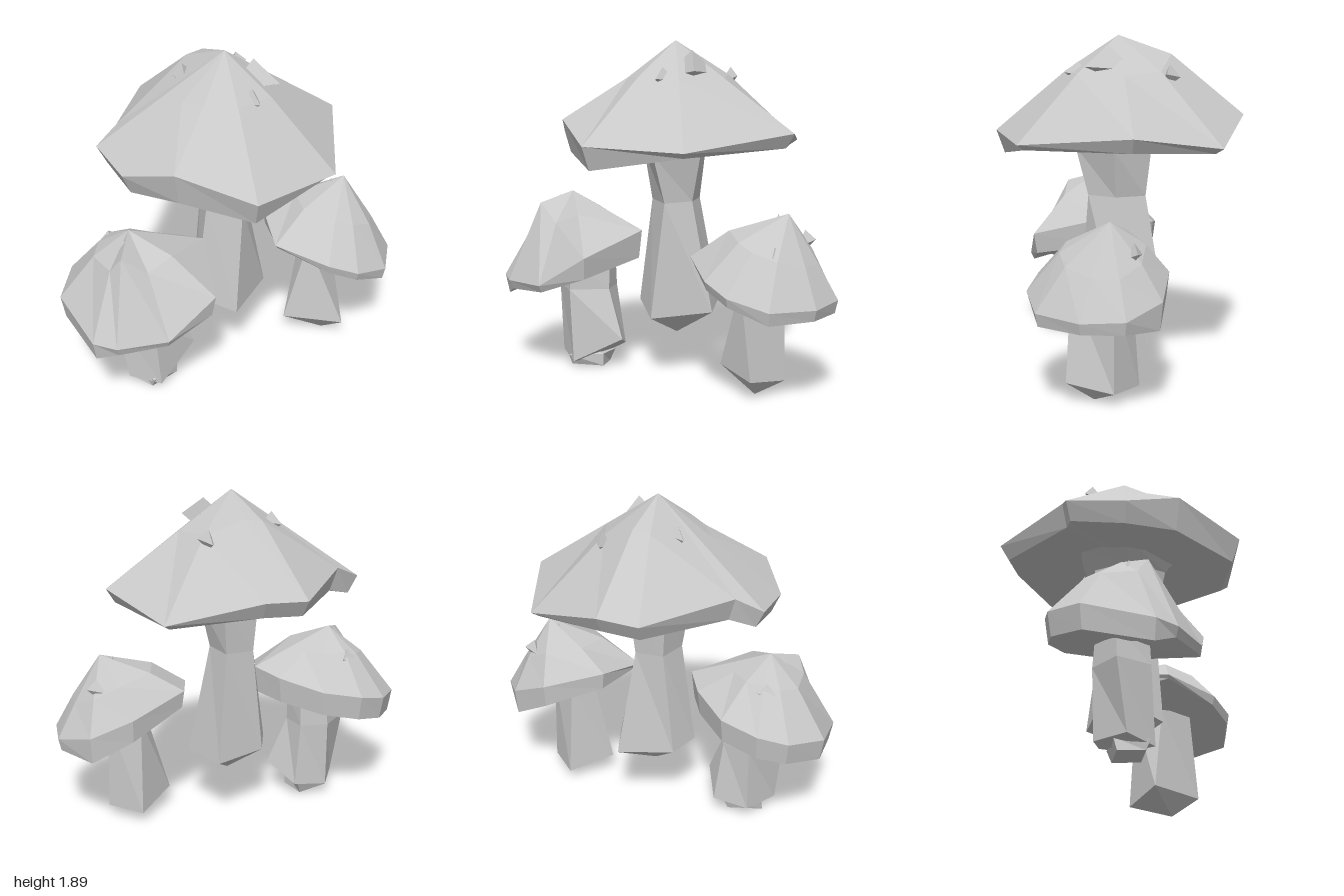
import * as THREE from 'three';

const stone = new THREE.MeshStandardMaterial({ color: 0xc8c8c8, flatShading: true, side: THREE.DoubleSide });
stone.name = 'pale grey';

// Flat-shaded skin over rings listed top to bottom, each running front, left (+x), back, right
function loft(name, top, rings, bottom) {
  const pos = [];
  const tri = (a, b, c) => pos.push(...a, ...b, ...c);
  const n = rings[0].length;
  const last = rings[rings.length - 1];
  for (let i = 0; i < n; i++) {
    const j = (i + 1) % n;
    tri(top, rings[0][i], rings[0][j]);
    for (let r = 0; r < rings.length - 1; r++) {
      const u = rings[r], l = rings[r + 1];
      tri(u[i], l[i], l[j]);
      tri(u[i], l[j], u[j]);
    }
    tri(last[i], bottom, last[j]);
  }
  const g = new THREE.BufferGeometry();
  g.setAttribute('position', new THREE.Float32BufferAttribute(pos, 3));
  g.computeVertexNormals();
  const mesh = new THREE.Mesh(g, stone);
  mesh.name = name;
  return mesh;
}

// Cap: rim entries are [x, y, z, shoulder lift, depth of the lip]
function cap(apex, rim, t, inset, under) {
  const shoulder = rim.map(p => [0, 1, 2].map(k => apex[k] + (p[k] - apex[k]) * t + (k === 1 ? p[3] : 0)));
  const edge = rim.map(p => p.slice(0, 3));
  const lip = rim.map(p => [
    under[0] + (p[0] - under[0]) * inset, p[1] - p[4], under[2] + (p[2] - under[2]) * inset]);
  return loft('cap', apex, [shoulder, edge, lip], under);
}

// Small chipped wart: a three-sided wedge sunk into the cap
function wart(x, y, z, r, h, turn) {
  const ring = [0, 1, 2].map(i => {
    const a = turn + i * 2.1;
    return [x + Math.sin(a) * r, y - i * 0.02, z + Math.cos(a) * r];
  });
  return loft('wart', [x, y + h, z], [ring], [x, y - 0.06, z]);
}

function mushroom(name, ...parts) {
  const g = new THREE.Group();
  g.name = name;
  g.add(...parts);
  return g;
}

export function createModel() {
  const model = new THREE.Group();
  model.name = 'mushroomCluster';

  model.add(mushroom('tallMushroom',
    cap([0, 1.89, 0], [
      [-0.15, 1.35, 0.69, 0.03, 0.13],
      [0.38, 1.33, 0.55, 0.03, 0.03],
      [0.71, 1.40, -0.05, 0.0, 0.08],
      [0.50, 1.32, -0.53, 0.05, 0.03],
      [0.02, 1.45, -0.70, 0.08, 0.09],
      [-0.21, 1.44, -0.69, 0.07, 0.09],
      [-0.54, 1.47, -0.23, 0.0, 0.13],
      [-0.68, 1.40, -0.17, 0.0, 0.10],
      [-0.66, 1.37, 0.15, 0.0, 0.11],
      [-0.48, 1.46, 0.41, -0.02, 0.18],
    ], 0.42, 0.93, [0.02, 1.38, 0.02]),
    // stem flares under the cap and ends in a blunt point
    loft('stem', [0.02, 1.40, 0.02], [
      [[0.0, 1.37, 0.33], [0.33, 1.37, 0.17], [0.15, 1.37, -0.27], [-0.18, 1.37, -0.22], [-0.27, 1.37, 0.07]],
      [[0.0, 1.27, 0.24], [0.18, 1.27, 0.03], [0.09, 1.27, -0.18], [-0.11, 1.27, -0.15], [-0.17, 1.27, 0.06]],
      [[0.03, 1.0, 0.17], [0.12, 1.0, 0.02], [0.07, 1.0, -0.15], [-0.09, 1.0, -0.13], [-0.13, 1.0, 0.04]],
      [[-0.03, 0.35, 0.22], [0.25, 0.38, 0.02], [0.14, 0.39, -0.25], [-0.15, 0.39, -0.12], [-0.21, 0.41, 0.05]],
    ], [0.02, 0.24, 0.02]),
    wart(0.14, 1.73, 0.06, 0.16, 0.11, 0.6),
    wart(0.05, 1.69, 0.22, 0.08, 0.06, 0.1),
    wart(-0.18, 1.74, -0.15, 0.06, 0.05, 2.0),
    wart(0.20, 1.69, -0.27, 0.06, 0.05, 1.2),
  ));

  model.add(mushroom('rightMushroom',
    cap([-0.63, 1.02, 0.12], [
      [-0.58, 0.53, 0.52, 0.08, 0.04],
      [-0.29, 0.71, 0.49, 0.05, 0.12],
      [-0.17, 0.82, 0.09, 0.0, 0.16],
      [-0.27, 0.79, -0.06, 0.0, 0.15],
      [-0.48, 0.74, -0.23, 0.03, 0.14],
      [-0.70, 0.70, -0.26, 0.05, 0.14],
      [-0.86, 0.66, -0.20, 0.05, 0.13],
      [-1.00, 0.62, 0.00, 0.05, 0.13],
      [-0.95, 0.53, 0.36, 0.10, 0.11],
      [-0.85, 0.52, 0.45, 0.19, 0.05],
    ], 0.5, 0.95, [-0.56, 0.60, 0.13]),
    loft('stem', [-0.54, 0.64, 0.11], [
      [[-0.55, 0.62, 0.25], [-0.38, 0.62, 0.11], [-0.42, 0.62, -0.01], [-0.57, 0.62, -0.03], [-0.70, 0.62, 0.11]],
      [[-0.56, 0.46, 0.26], [-0.38, 0.46, 0.12], [-0.42, 0.46, -0.02], [-0.58, 0.46, -0.04], [-0.73, 0.45, 0.12]],
      [[-0.53, 0.04, 0.27], [-0.27, 0.18, 0.15], [-0.38, 0.10, -0.05], [-0.58, 0.07, -0.03], [-0.68, 0.07, 0.16]],
    ], [-0.50, 0.03, 0.12]),
    // broken foot under the stem
    loft('foot', [-0.51, 0.1, 0.13], [
      [[-0.57, 0.07, 0.26], [-0.39, 0.08, 0.17], [-0.42, 0.07, 0.0], [-0.62, 0.07, 0.08]],
      [[-0.57, 0.01, 0.23], [-0.39, 0.01, 0.17], [-0.44, 0.0, 0.03], [-0.63, 0.0, 0.10]],
    ], [-0.51, 0.0, 0.13]),
    wart(-0.68, 0.95, 0.17, 0.06, 0.05, 0.4),
    wart(-0.68, 0.88, -0.06, 0.06, 0.05, 2.4),
  ));

  model.add(mushroom('leftMushroom',
    cap([0.74, 0.99, 0.07], [
      [0.60, 0.60, 0.50, 0.06, 0.05],
      [0.82, 0.54, 0.45, 0.05, 0.07],
      [0.98, 0.53, 0.23, 0.02, 0.06],
      [1.00, 0.54, 0.00, 0.01, 0.07],
      [0.85, 0.60, -0.19, 0.03, 0.15],
      [0.62, 0.70, -0.24, 0.04, 0.13],
      [0.30, 0.79, -0.10, 0.02, 0.10],
      [0.22, 0.73, 0.21, 0.05, 0.02],
      [0.44, 0.66, 0.44, 0.06, 0.05],
    ], 0.6, 0.96, [0.61, 0.59, 0.12]),
    loft('stem', [0.60, 0.64, 0.12], [
      [[0.56, 0.62, 0.27], [0.71, 0.62, 0.05], [0.54, 0.62, -0.05], [0.49, 0.62, 0.12]],
      [[0.64, 0.11, 0.30], [0.72, 0.07, 0.05], [0.55, 0.06, -0.09], [0.35, 0.12, 0.10]],
    ], [0.59, 0.0, 0.15]),
    wart(0.75, 0.79, 0.25, 0.05, 0.05, 0.2),
    wart(0.78, 0.84, -0.05, 0.06, 0.05, 1.8),
    wart(0.67, 0.93, 0.05, 0.04, 0.05, 1.0),
  ));

  return model;
}
